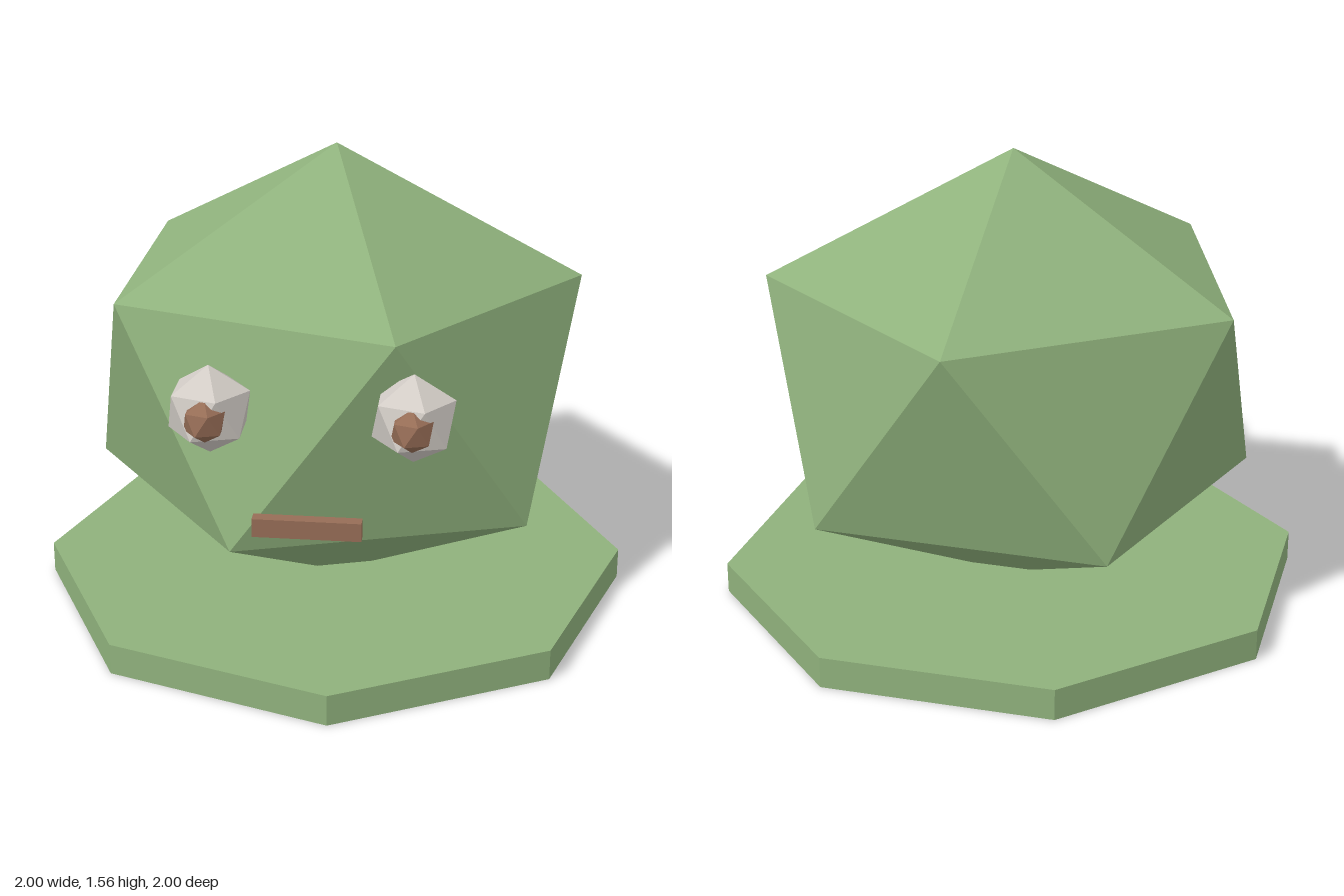
import * as THREE from 'three';
import { ConvexGeometry } from 'three/addons/geometries/ConvexGeometry.js';

const flat = (name, color) => {
  const m = new THREE.MeshStandardMaterial({ color, flatShading: true });
  m.name = name;
  return m;
};

// Slightly tilted, centrally symmetric twenty-sided solid
function twentySided() {
  const half = [
    [0, 0.775, -0.025],
    [0.815, 0.35, 0.055], [0.195, 0.372, 0.785], [-0.695, 0.364, 0.415],
    [-0.625, 0.335, -0.545], [0.315, 0.325, -0.77],
  ];
  const points = [];
  for (const p of half) {
    const v = new THREE.Vector3(...p);
    points.push(v, v.clone().negate());
  }
  return new ConvexGeometry(points);
}

export function createModel() {
  const model = new THREE.Group();
  const green = flat('leaf green', 0x8fb17c);
  const white = flat('eye white', 0xd2ccc6);
  const brown = flat('bark brown', 0x966d56);
  const solid = twentySided();

  const add = (name, geometry, material, x, y, z) => {
    const mesh = new THREE.Mesh(geometry, material);
    mesh.name = name;
    mesh.position.set(x, y, z);
    model.add(mesh);
    return mesh;
  };

  // Eight-sided base and faceted body
  add('base', new THREE.CylinderGeometry(1, 1, 0.105, 8), green, 0, 0.0525, 0);
  add('body', solid, green, 0.005, 0.79, -0.025);

  // Eyes and pupils are small, rounder copies of the body solid
  const ball = (name, material, radius, x, y, z) =>
    add(name, solid, material, x, y, z).scale.set(radius / 0.913, radius / 0.775, radius / 0.913);
  for (const [side, x, z] of [['right', -0.365, 0.715], ['left', 0.257, 0.775]]) {
    ball(side + 'Eye', white, 0.142, x, 0.938, z);
    ball(side + 'Pupil', brown, 0.071, x - 0.006, 0.94, z + 0.097);
  }

  // Mouth bar, turned with the face
  add('mouth', new THREE.BoxGeometry(0.335, 0.06, 0.04), brown, -0.063, 0.607, 0.854).rotation.y = -0.08;

  return model;
}
